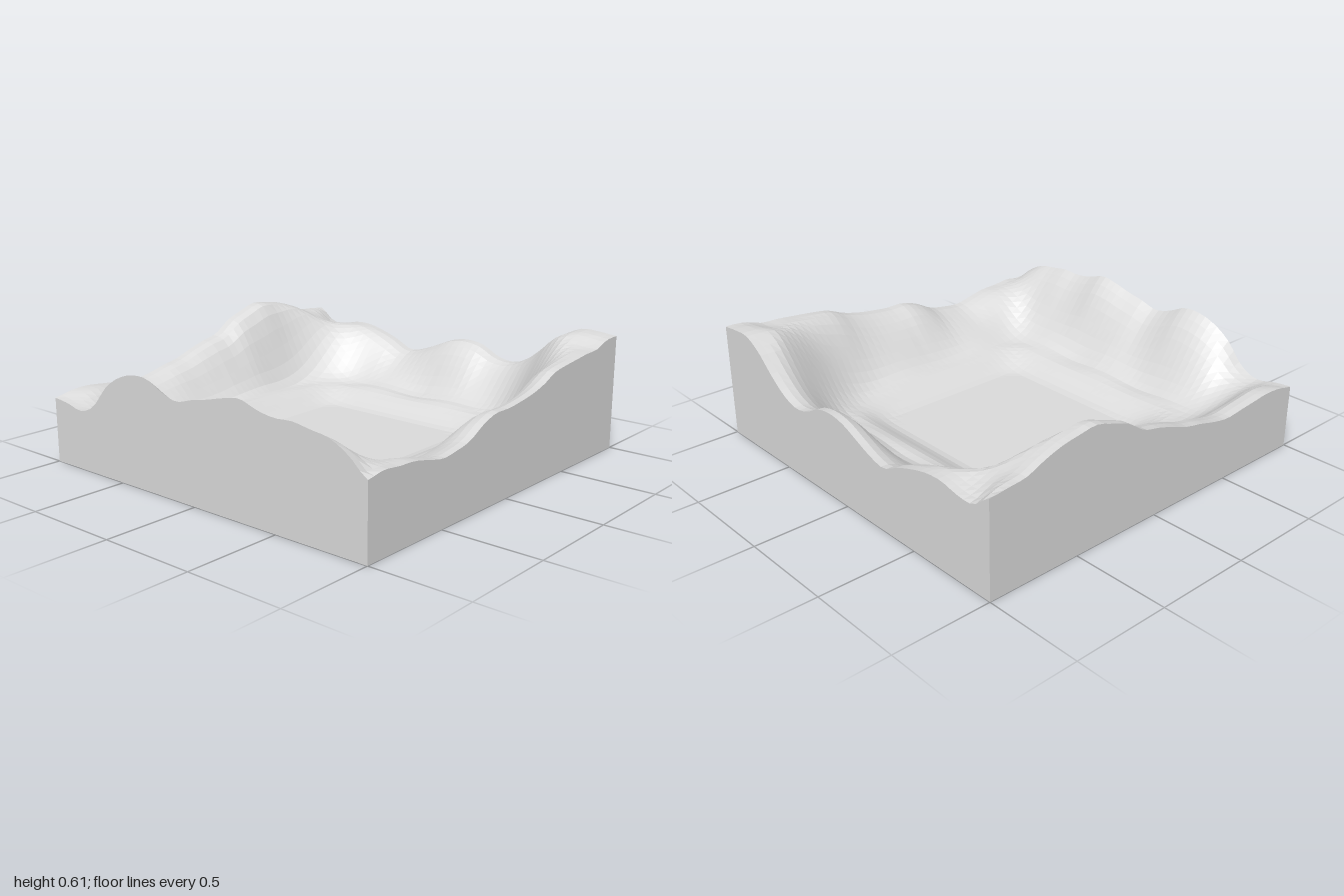
import * as THREE from 'three';

const N = 50; // grid cells per side
const FLOOR = 0.09;

// Rim heights at steps of 0.1 along each edge (-1 to 1)
const FRONT = [.33, .32, .3, .34, .45, .515, .545, .545, .5, .475, .5, .52, .545, .56, .53, .515, .52, .505, .49, .44, .36];
const BACK = [.49, .42, .42, .44, .435, .41, .375, .33, .35, .39, .43, .445, .43, .38, .365, .4, .47, .555, .605, .605, .595];
const LEFT = [.595, .59, .56, .555, .545, .535, .52, .48, .455, .44, .43, .43, .4, .35, .33, .32, .34, .36, .365, .375, .36];
const RIGHT = [.49, .5, .51, .55, .58, .595, .605, .575, .54, .475, .45, .42, .385, .365, .34, .325, .335, .345, .355, .35, .33];

const smooth = THREE.MathUtils.smoothstep;
const mix = THREE.MathUtils.lerp;

// Smooth curve through evenly spaced heights
function sample(list, t) {
  const s = THREE.MathUtils.clamp((t + 1) * 10, 0, 20);
  const i = Math.min(19, Math.floor(s)), f = s - i;
  const p = (k) => list[THREE.MathUtils.clamp(k, 0, 20)];
  const a = p(i - 1), b = p(i), c = p(i + 1), d = p(i + 2);
  return b + 0.5 * f * (c - a + f * (2 * a - 5 * b + 4 * c - d + f * (3 * (b - c) + d - a)));
}

// Distance from the centre measured in rounded squares
const squareDistance = (x, z, power) => (x ** power + z ** power) ** (1 / power);

// Square flat floor, low bench, then rounded walls rising to the rim
function height(x, z) {
  const ax = Math.abs(x), az = Math.abs(z), m = Math.max(ax, az);
  const wx = (1.001 - Math.min(ax, 1)) ** -2, wz = (1.001 - Math.min(az, 1)) ** -2;
  const k = wx / (wx + wz);
  const rim = mix(sample(z > 0 ? FRONT : BACK, x), sample(x > 0 ? LEFT : RIGHT, z), k);
  const d = squareDistance(ax, az, z > 0 ? 9 : 4);
  // Foot and crest of the wall on each side
  const foot = mix(z > 0 ? 0.66 : 0.68, x > 0 ? 0.6 : 0.67, k);
  const crest = mix(z > 0 ? 1.03 : 0.98, x > 0 ? 0.98 : 0.95, k);
  const wall = mix(smooth(d, foot, crest), 1, smooth(m, 0.96, 1));
  const bench = FLOOR + 0.075 * smooth(squareDistance(ax, az, 8), 0.44, 0.64);
  const bumps = 0.008 * Math.sin(13 * x + 2) * Math.sin(11 * z) * smooth(d, 0.5, 0.7) * smooth(1 - m, 0, 0.15);
  return mix(bench, rim, wall) + bumps;
}

// Vertical sides running round the perimeter from the rim to the ground
function sideGeometry() {
  const pos = [];
  const corners = [[-1, 1], [1, 1], [1, -1], [-1, -1]];
  corners.forEach((c, i) => {
    const e = corners[(i + 1) % 4];
    for (let j = 0; j < N; j++) {
      const [ax, az, bx, bz] = [j / N, (j + 1) / N].flatMap((t) => [mix(c[0], e[0], t), mix(c[1], e[1], t)]);
      const ah = height(ax, az), bh = height(bx, bz);
      pos.push(ax, 0, az, bx, 0, bz, bx, bh, bz, ax, 0, az, bx, bh, bz, ax, ah, az);
    }
  });
  const geo = new THREE.BufferGeometry();
  geo.setAttribute('position', new THREE.Float32BufferAttribute(pos, 3));
  geo.computeVertexNormals();
  return geo;
}

export function createModel() {
  const group = new THREE.Group();
  group.name = 'terrainBlock';
  const stone = new THREE.MeshStandardMaterial({ color: 0xdbdbdb });
  stone.name = 'light grey';
  const add = (geo, name) => {
    const mesh = new THREE.Mesh(geo, stone);
    mesh.name = name;
    group.add(mesh);
  };

  // Valley surface
  const plane = new THREE.PlaneGeometry(2, 2, N, N).rotateX(-Math.PI / 2);
  const p = plane.attributes.position;
  for (let i = 0; i < p.count; i++) p.setY(i, height(p.getX(i), p.getZ(i)));
  const land = plane.toNonIndexed(); // faceted ground
  land.computeVertexNormals();
  add(land, 'valleySurface');

  // Block sides and underside
  add(sideGeometry(), 'blockSides');
  add(new THREE.PlaneGeometry(2, 2).rotateX(Math.PI / 2), 'blockBase');
  return group;
}
